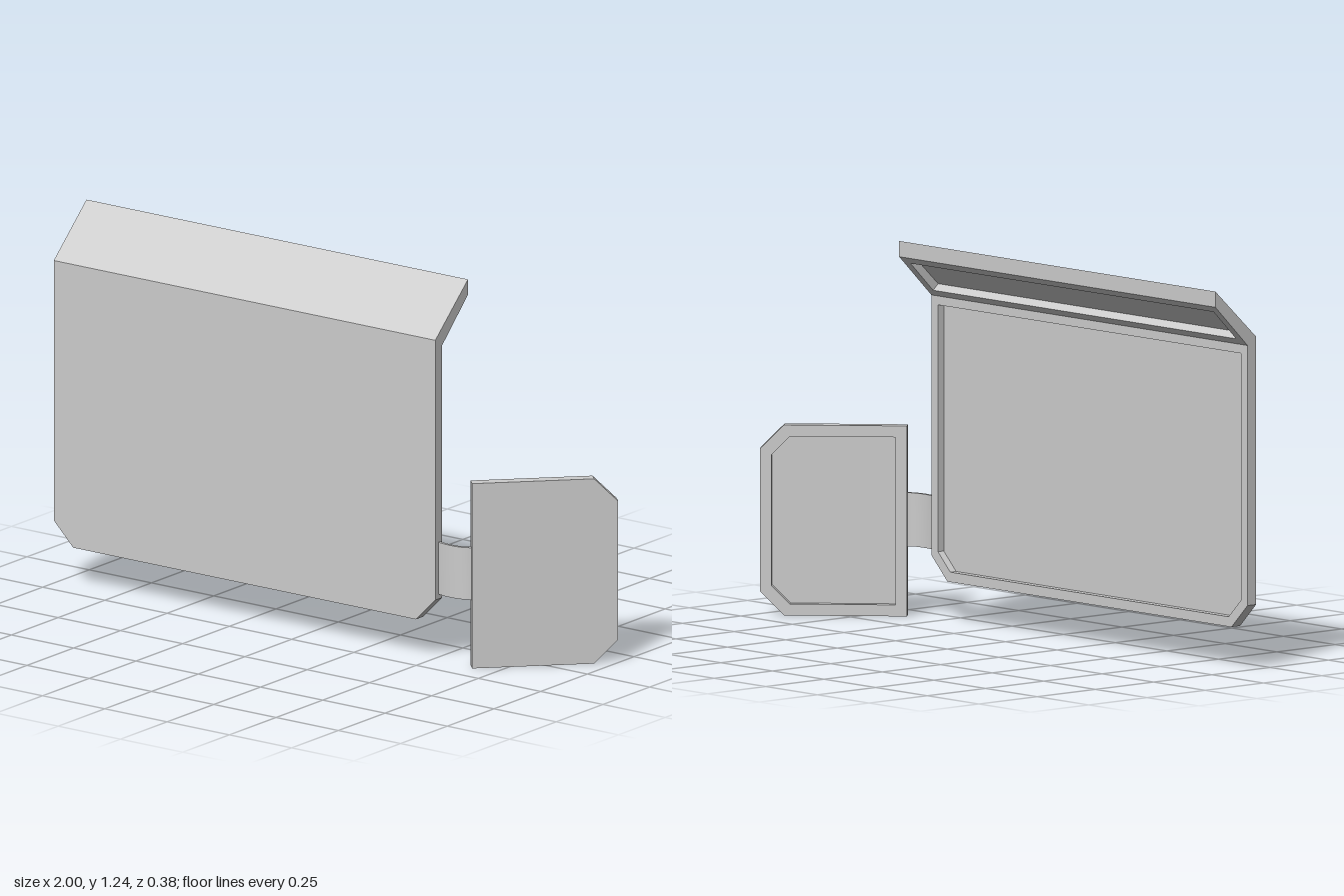
import * as THREE from 'three';
import { toCreasedNormals } from 'three/addons/utils/BufferGeometryUtils.js';

const T = 0.037; // panel thickness
const P = 0.012; // thickness of the skin at the bottom of the recess
const S = Math.SQRT1_2;

const material = new THREE.MeshStandardMaterial({ color: 0xcccccc });
const toPoints = (list) => list.map(([x, y]) => new THREE.Vector2(x, y));

// Panel with a recessed back: a solid skin plus a rim with a hole.
// place(u, v, t) puts a point at depth t behind the front face into space.
function panel(name, outer, inner, place) {
  const group = new THREE.Group();
  group.name = name;
  const add = (part, shape, t0, t1) => {
    const geometry = new THREE.ExtrudeGeometry(shape, { depth: t1 - t0, bevelEnabled: false });
    const pos = geometry.attributes.position;
    for (let i = 0; i < pos.count; i++) {
      pos.setXYZ(i, ...place(pos.getX(i), pos.getY(i), t1 - pos.getZ(i)));
    }
    geometry.computeVertexNormals();
    const mesh = new THREE.Mesh(geometry, material);
    mesh.name = part;
    group.add(mesh);
  };
  add(name + 'Skin', new THREE.Shape(toPoints(outer)), 0, P);
  const rim = new THREE.Shape(toPoints(outer));
  rim.holes.push(new THREE.Path(toPoints(inner)));
  add(name + 'Rim', rim, P, T);
  return group;
}

// Rectangle whose two lower corners are cut off
const lowerCut = (x0, x1, y0, y1, c) =>
  [[x0 + c, y0], [x1 - c, y0], [x1, y0 + c], [x1, y1], [x0, y1], [x0, y0 + c]];
// Rectangle whose two outer corners are cut off
const outerCut = (x0, x1, y0, y1, c) =>
  [[x0, y0], [x1 - c, y0], [x1, y0 + c], [x1, y1 - c], [x1 - c, y1], [x0, y1]];

export function createModel() {
  const model = new THREE.Group();
  model.name = 'foldedPanels';

  // Main upright panel, its top edge mitred to meet the flap
  model.add(panel('mainPanel',
    lowerCut(-1, 0.532, 0.132, 1.079, 0.078),
    lowerCut(-0.968, 0.5, 0.164, 1.025, 0.06),
    (u, v, t) => [u, v > 1.07 ? v - 0.025 * t / T : v, 0.19 - t]));

  // Sloping top flap, mitred below and cut upright along its rear edge
  const L = 0.237;
  model.add(panel('topFlap',
    lowerCut(-1, 0.532, 0, L, 0),
    lowerCut(-0.968, 0.5, 0.035, L - 0.035, 0),
    (u, v, t) => {
      const k = v / L, d = t / T;
      const y = (1.079 - 0.025 * d) * (1 - k) + (1.242 - 0.051 * d) * k;
      const z = (0.19 - T * d) * (1 - k) + 0.015 * k;
      return [u, y, z];
    }));

  // Small side panel turned back by 45 degrees
  model.add(panel('sidePanel',
    outerCut(0, 0.474, 0, 0.618, 0.078),
    outerCut(0.037, 0.437, 0.037, 0.581, 0.06),
    (u, v, t) => [0.665 + (u - t) * S, v, 0.17 - (u + t) * S]));

  // Thin curved strap joining the side panel to the main panel
  const strap = new THREE.Shape();
  strap.moveTo(0.525, 0.171);
  strap.bezierCurveTo(0.57, 0.186, 0.63, 0.186, 0.66, 0.158);
  strap.lineTo(0.65, 0.15);
  strap.bezierCurveTo(0.625, 0.175, 0.57, 0.175, 0.525, 0.16);
  const strapGeometry = new THREE.ExtrudeGeometry(strap,
    { depth: 0.174, bevelEnabled: false, curveSegments: 10 });
  strapGeometry.rotateX(Math.PI / 2).translate(0, 0.4, 0);
  const strapMesh = new THREE.Mesh(toCreasedNormals(strapGeometry, 0.6), material);
  strapMesh.name = 'hingeStrap';
  model.add(strapMesh);

  return model;
}
